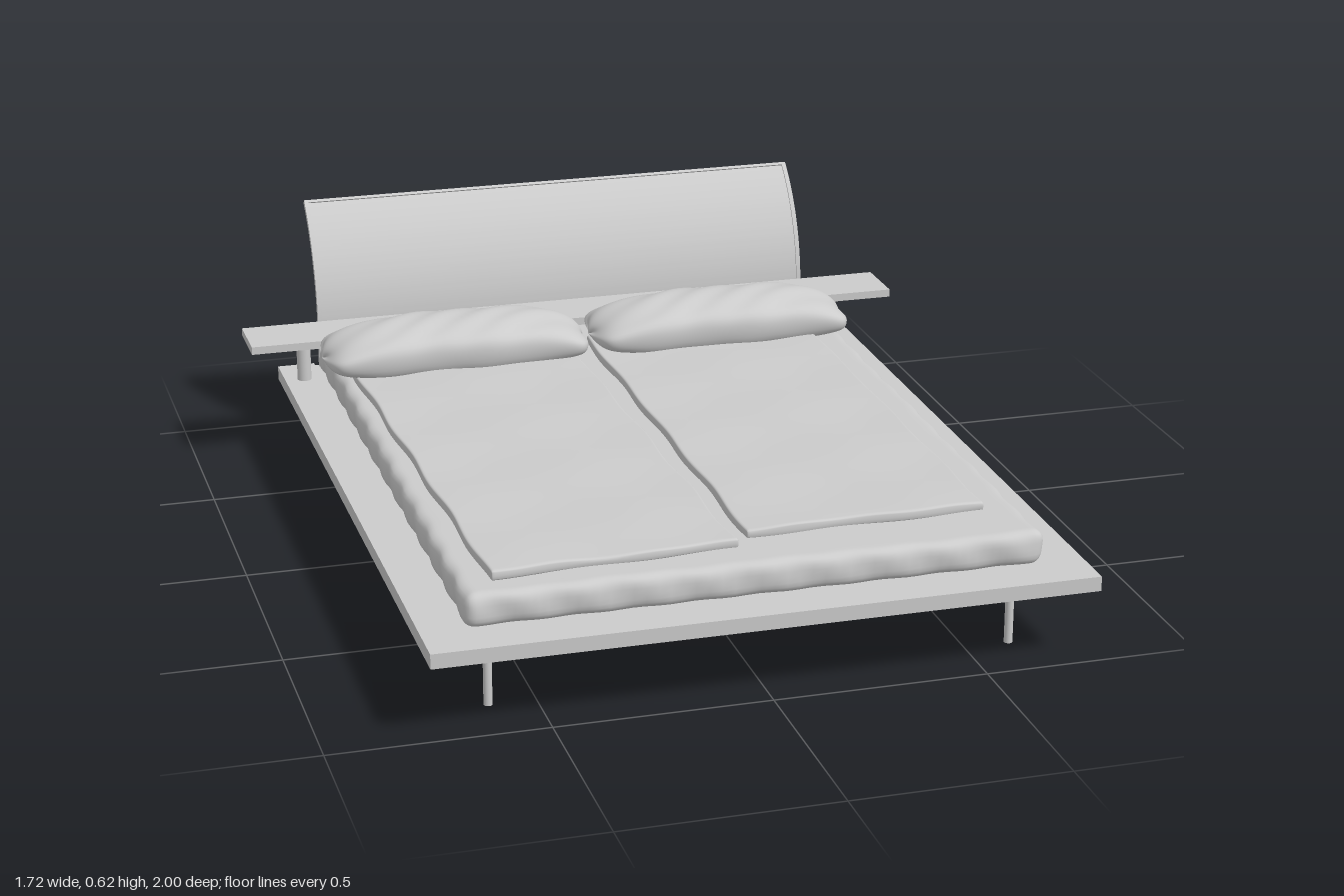
import * as THREE from 'three';
import { mergeVertices, toCreasedNormals } from 'three/addons/utils/BufferGeometryUtils.js';

const grey = new THREE.MeshStandardMaterial({ color: 0xcccccc });

function add(parent, name, geometry, x = 0, y = 0, z = 0) {
  const mesh = new THREE.Mesh(geometry, grey);
  mesh.name = name;
  mesh.position.set(x, y, z);
  parent.add(mesh);
  return mesh;
}

// Board given by its limits on each axis
function board(parent, name, [x0, x1], [y0, y1], [z0, z1]) {
  const g = new THREE.BoxGeometry(x1 - x0, y1 - y0, z1 - z0);
  return add(parent, name, g, (x0 + x1) / 2, (y0 + y1) / 2, (z0 + z1) / 2);
}

// Soft slab: a box with rounded edges, then moved by a rule
function softSlab(w, h, d, r, segments, rule) {
  let g = new THREE.BoxGeometry(2, 2, 2, ...segments);
  g.deleteAttribute('normal');
  g.deleteAttribute('uv');
  g = mergeVertices(g);
  const p = g.attributes.position;
  const half = new THREE.Vector3(w / 2, h / 2, d / 2);
  const inner = half.clone().subScalar(r);
  const v = new THREE.Vector3(), c = new THREE.Vector3();
  for (let i = 0; i < p.count; i++) {
    v.fromBufferAttribute(p, i);
    // crowd the rows towards the edges so the rounding stays smooth
    v.set(...v.toArray().map(t => Math.sin(t * Math.PI / 2))).multiply(half);
    c.copy(v).clamp(inner.clone().negate(), inner);
    v.sub(c).setLength(r).add(c);
    rule(v);
    p.setXYZ(i, v.x, v.y, v.z);
  }
  g.computeVertexNormals();
  return g;
}

// Gentle cloth ripple
const ripple = (x, z) =>
  Math.sin(9 * x + 5 * z) * Math.sin(7 * z - 4 * x) + 0.5 * Math.sin(21 * x - 13 * z);

// Duvet stretched over four corners: back -x, back +x, front -x, front +x
function duvet(corners) {
  const [a, b, c, d] = corners.map(q => new THREE.Vector2(...q));
  return softSlab(2, 0.024, 2, 0.011, [40, 4, 70], v => {
    const u = (v.x + 1) / 2, w = (v.z + 1) / 2;
    const q = a.clone().lerp(b, u).lerp(c.clone().lerp(d, u), w);
    v.x = q.x + 0.004 * Math.sin(17 * q.y);
    v.z = q.y + 0.004 * Math.sin(19 * q.x);
    if (v.y > 0) v.y += 0.0025 * ripple(q.x * 1.5, q.y * 1.5);
  });
}

// Pillow: one side profile (z, y) swept along x, flattening towards both ends
function pillow(halfLength) {
  const profile = [[-0.45, 0.3], [-0.442, 0.37], [-0.5, 0.402], [-0.59, 0.412], [-0.66, 0.39],
    [-0.7, 0.345], [-0.67, 0.322], [-0.57, 0.3], [-0.5, 0.288]];
  const curve = new THREE.CatmullRomCurve3(
    profile.map(([z, y]) => new THREE.Vector3(0, y, z)), true);
  const rows = 64, n = 56, zMid = -0.57, yMid = 0.325;
  const ring = curve.getSpacedPoints(n).slice(0, n);
  const position = [], index = [];
  for (let i = 0; i <= rows; i++) {
    const t = -Math.cos(Math.PI * i / rows);
    const tall = Math.sqrt(Math.max(0, 1 - Math.abs(t) ** 3));
    const deep = Math.sqrt(Math.max(0, 1 - Math.abs(t) ** 24)) * (0.97 + 0.03 * t * t);
    for (let j = 0; j < n; j++) {
      const { y, z } = ring[j];
      const x = t * halfLength;
      const fold = 1 + 0.03 * Math.sin(60 * z + 38 * x + 2 * Math.sin(9 * x));
      position.push(x + 0.004 * Math.sin(40 * z) * t, yMid + (y - yMid) * tall * fold,
        zMid + (z - zMid) * deep + 0.004 * Math.sin(23 * x));
      if (i < rows) {
        const k = (j + 1) % n, a = i * n, b = a + n;
        index.push(a + j, b + j, a + k, b + j, b + k, a + k);
      }
    }
  }
  const g = new THREE.BufferGeometry();
  g.setAttribute('position', new THREE.Float32BufferAttribute(position, 3));
  g.setIndex(index);
  g.computeVertexNormals();
  return g;
}

// Curved strip of the headboard between two radii, angles and x limits
function curvedStrip(r0, r1, a0, a1, x0, x1, foot) {
  const cz = -1.235, cy = 0.306;
  const s = new THREE.Shape();
  if (foot !== undefined) {
    s.moveTo(cz + r0, foot);
    s.lineTo(cz + r1, foot);
  }
  s.absarc(cz, cy, r1, a0, a1, false);
  s.absarc(cz, cy, r0, a1, a0, true);
  s.closePath();
  const g = new THREE.ExtrudeGeometry(s, { depth: x1 - x0, bevelEnabled: false, curveSegments: 24 });
  g.rotateY(-Math.PI / 2).translate(x1, 0, 0);
  return toCreasedNormals(g, 0.5);
}

export function createModel() {
  const bed = new THREE.Group();
  bed.name = 'bed';

  // Platform: a wide centre board between two side boards
  board(bed, 'platformCentre', [-0.67, 0.67], [0.17, 0.205], [-0.855, 1]);
  for (const side of [-1, 1]) {
    const name = side > 0 ? 'left' : 'right';
    board(bed, name + 'PlatformBoard', [side * 0.7175 - 0.0475, side * 0.7175 + 0.0475],
      [0.17, 0.205], [-0.872, 1]);
    // Thin legs and shelf posts
    for (const [end, z] of [['Front', 0.85], ['Back', -0.72]])
      add(bed, name + end + 'Leg', new THREE.CylinderGeometry(0.01, 0.01, 0.17, 20), side * 0.608, 0.085, z);
    add(bed, name + 'ShelfPost', new THREE.CylinderGeometry(0.018, 0.018, 0.105, 24), side * 0.715, 0.2575, -0.76);
  }

  // Shelf running behind the pillows
  board(bed, 'shelf', [-0.86, 0.86], [0.31, 0.33], [-0.84, -0.685]);

  // Headboard: curved panel held in a slim rim
  const headboard = new THREE.Group();
  headboard.name = 'headboard';
  bed.add(headboard);
  const top = 0.9;
  add(headboard, 'headboardPanel', curvedStrip(0.383, 0.391, 0, top - 0.02, -0.649, 0.649, 0.205));
  add(headboard, 'headboardLeftRim', curvedStrip(0.38, 0.395, 0, top, 0.649, 0.66, 0.205));
  add(headboard, 'headboardRightRim', curvedStrip(0.38, 0.395, 0, top, -0.66, -0.649, 0.205));
  add(headboard, 'headboardTopRim', curvedStrip(0.38, 0.395, top - 0.02, top, -0.649, 0.649));

  // Mattress with slightly puckered sides
  add(bed, 'mattress', softSlab(1.335, 0.08, 1.725, 0.028, [70, 10, 90], v => {
    const x = v.x, z = v.z;
    v.x += 0.003 * Math.sin(45 * z + 40 * v.y) * (x / 0.67) ** 8;
    v.z += 0.003 * Math.sin(45 * x + 40 * v.y) * (z / 0.86) ** 8;
    if (v.y > 0) v.y += 0.0015 * ripple(x, z);
  }), 0, 0.245, 0.0425);

  // Two duvets lying a little askew
  add(bed, 'rightDuvet', duvet([[-0.635, -0.62], [-0.06, -0.62], [-0.595, 0.83], [-0.025, 0.805]]), 0, 0.294, 0);
  add(bed, 'leftDuvet', duvet([[0, -0.62], [0.575, -0.62], [0.01, 0.757], [0.58, 0.747]]), 0, 0.294, 0);

  // Pillows
  const pillowShape = pillow(0.336);
  add(bed, 'rightPillow', pillowShape, -0.36);
  add(bed, 'leftPillow', pillowShape, 0.336);

  return bed;
}
